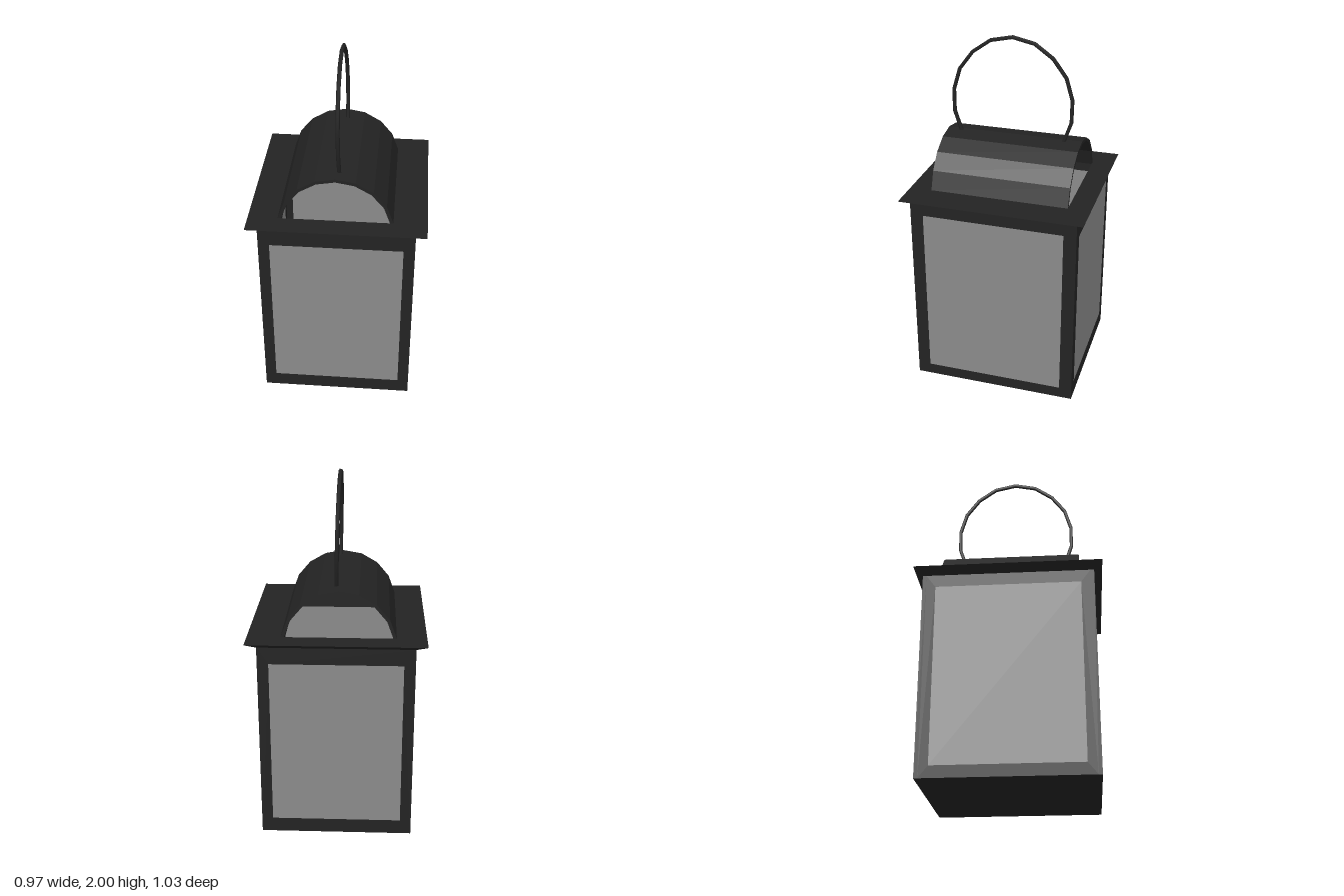
import * as THREE from 'three';

const metal = new THREE.MeshStandardMaterial({ name: 'dark metal', color: 0x232323 });
const glass = new THREE.MeshStandardMaterial({ name: 'grey glass', color: 0x8a8a8a });

const HX = 0.425, HZ = 0.47, H = 1.14, LID_TOP = 1.17, WALL = 0.02;

function add(parent, name, geometry, material) {
  const mesh = new THREE.Mesh(geometry, material);
  mesh.name = name;
  parent.add(mesh);
  return mesh;
}

function rect(target, x0, y0, x1, y1) {
  target.moveTo(x0, y0).lineTo(x1, y0).lineTo(x1, y1).lineTo(x0, y1).closePath();
  return target;
}

// Framed wall with a flush pane; its outer face lies at z = 0
function makeWall(name, halfW, paneHalfW, y0, y1) {
  const group = new THREE.Group();
  group.name = name;
  const shape = rect(new THREE.Shape(), -halfW, 0, halfW, H);
  shape.holes.push(rect(new THREE.Path(), -paneHalfW, y0, paneHalfW, y1));
  const frame = new THREE.ExtrudeGeometry(shape, { depth: WALL, bevelEnabled: false });
  frame.translate(0, 0, -WALL);
  add(group, name + 'Frame', frame, metal);
  const pane = new THREE.BoxGeometry(paneHalfW * 2, y1 - y0, WALL);
  pane.translate(0, (y0 + y1) / 2, -WALL / 2);
  add(group, name + 'Pane', pane, glass);
  return group;
}

export function createModel() {
  const lantern = new THREE.Group();
  lantern.name = 'lantern';

  // Four walls, the side ones fitted between front and back
  ['front', 'left', 'back', 'right'].forEach((side, i) => {
    const isSide = i % 2 === 1;
    const wall = isSide
      ? makeWall(side + 'Wall', HZ - WALL, 0.398, 0.065, 1.07)
      : makeWall(side + 'Wall', HX, 0.363, 0.085, 1.045);
    wall.rotation.y = i * Math.PI / 2;
    wall.translateZ(isSide ? HX : HZ);
    lantern.add(wall);
  });

  // Floor
  const floor = new THREE.BoxGeometry(2 * (HX - WALL), 0.02, 2 * (HZ - WALL));
  floor.translate(0, 0.01, 0);
  add(lantern, 'floor', floor, metal);

  // Flared lid with an opening; the lower outer edge narrows to the body
  const lidShape = rect(new THREE.Shape(), -0.485, -0.515, 0.485, 0.515);
  lidShape.holes.push(rect(new THREE.Path(), -0.305, -0.39, 0.285, 0.39));
  const lid = new THREE.ExtrudeGeometry(lidShape, { depth: LID_TOP - H, bevelEnabled: false });
  lid.rotateX(-Math.PI / 2).translate(0, H, 0);
  const p = lid.attributes.position;
  for (let i = 0; i < p.count; i++) {
    if (p.getY(i) > H + 0.01) continue;
    p.setX(i, THREE.MathUtils.clamp(p.getX(i), -HX, HX));
    p.setZ(i, THREE.MathUtils.clamp(p.getZ(i), -HZ, HZ));
  }
  lid.computeVertexNormals();
  add(lantern, 'lid', lid, metal);

  // Arched vent hood, a curved sheet open at both ends
  const hoodShape = new THREE.Shape();
  const arc = (r) => Array.from({ length: 9 }, (_, i) => {
    const a = THREE.MathUtils.degToRad(10 + 20 * i);
    return new THREE.Vector2(r * Math.cos(a) - 0.01, r * Math.sin(a) + 1.115);
  });
  hoodShape.setFromPoints([...arc(0.317), ...arc(0.299).reverse()]);
  const hood = new THREE.ExtrudeGeometry(hoodShape, { depth: 0.78, bevelEnabled: false });
  hood.translate(0, 0, -0.39);
  add(lantern, 'ventHood', hood, metal);

  // Wire handle, leaning slightly to one side
  const half = [[0.297, 1.42], [0.338, 1.54], [0.338, 1.675], [0.297, 1.8], [0.216, 1.9], [0.118, 1.965]];
  const loop = [...half, [0, 1.989], ...half.map(([z, y]) => [-z, y]).reverse()];
  const path = new THREE.CatmullRomCurve3(
    loop.map(([z, y]) => new THREE.Vector3(0.005 - (y - 1.42) * 0.018, y, z + 0.01)));
  add(lantern, 'handle', new THREE.TubeGeometry(path, 12, 0.011, 6, false), metal);

  return lantern;
}
